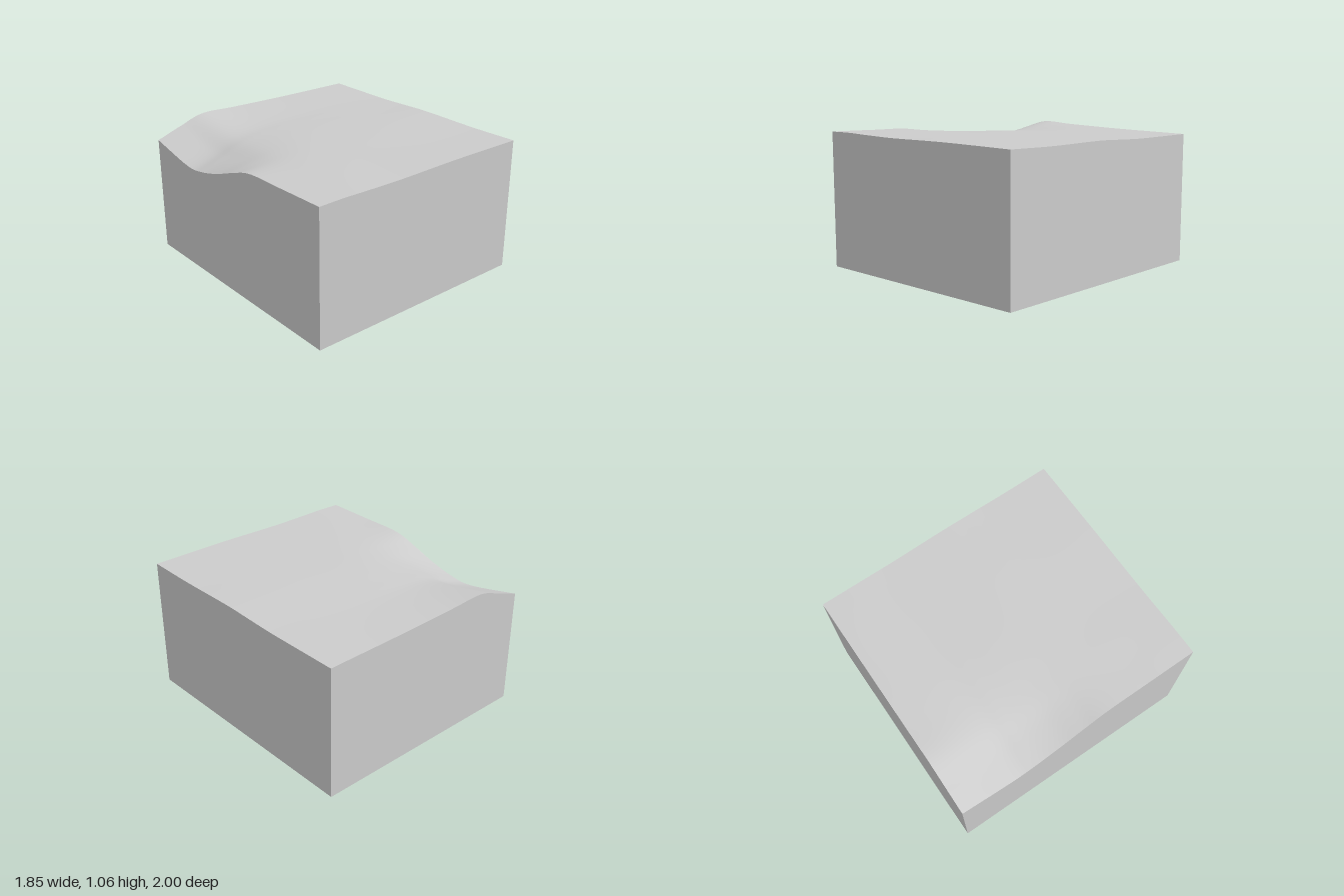
import * as THREE from 'three';

const W = 0.925, D = 1, N = 40;

// Control net of the ground: rows run back to front, columns left to right
const XS = [-W, -0.72, -0.51, -0.2, 0.3, W];
const ZS = [-D, -0.58, -0.38, -0.17, 0.04, 0.25, 0.6, D];
const HEIGHTS = [
  [0.914, 0.985, 1.047, 1.037, 1.024, 1.016],
  [0.831, 0.900, 0.985, 1.015, 1.020, 1.018],
  [0.842, 0.910, 0.985, 1.020, 1.025, 1.020],
  [0.895, 0.945, 1.000, 1.030, 1.033, 1.028],
  [0.970, 0.995, 1.020, 1.037, 1.040, 1.037],
  [1.030, 1.030, 1.035, 1.040, 1.043, 1.038],
  [1.042, 1.043, 1.045, 1.043, 1.045, 1.037],
  [1.053, 1.055, 1.050, 1.046, 1.051, 1.046],
];

const spline = (points) => new THREE.CatmullRomCurve3(points, false, 'catmullrom', 0.5);

// Smooth grid of points, grid[column][row]
function sampleGround() {
  const rows = HEIGHTS.map((row, j) =>
    spline(row.map((y, i) => new THREE.Vector3(XS[i], y, ZS[j]))).getPoints(N));
  return rows[0].map((_, i) => spline(rows.map((row) => row[i])).getPoints(N));
}

// Surface through a list of equally long point lists
function loft(lines) {
  const n = lines[0].length, index = [];
  for (let i = 0; i < lines.length - 1; i++) {
    for (let j = 0; j < n - 1; j++) {
      const a = i * n + j, b = a + n;
      index.push(a, a + 1, b, b, a + 1, b + 1);
    }
  }
  const geometry = new THREE.BufferGeometry().setFromPoints(lines.flat());
  geometry.setIndex(index);
  geometry.computeVertexNormals();
  return geometry;
}

export function createModel() {
  const group = new THREE.Group();
  group.name = 'terrainBlock';
  const material = new THREE.MeshStandardMaterial({ color: 0xcccccc });
  const add = (name, geometry) => {
    const mesh = new THREE.Mesh(geometry, material);
    mesh.name = name;
    group.add(mesh);
    return mesh;
  };

  // Rolling top with a hollow at the back left corner
  const grid = sampleGround();
  add('ground', loft(grid));

  // Flat walls from the ground's rim down to the base,
  // each rim listed left to right as seen from outside
  const backRim = grid.map((line) => line[0]).reverse();
  const frontRim = grid.map((line) => line[N]);
  const rims = {
    frontWall: frontRim,
    rightWall: [...grid[N]].reverse(),
    backWall: backRim,
    leftWall: grid[0],
  };
  for (const [name, rim] of Object.entries(rims)) {
    add(name, loft(rim.map((p) => [p, new THREE.Vector3(p.x, 0, p.z)])));
  }

  // Flat underside
  add('base', new THREE.PlaneGeometry(2 * W, 2 * D).rotateX(Math.PI / 2));
  return group;
}
